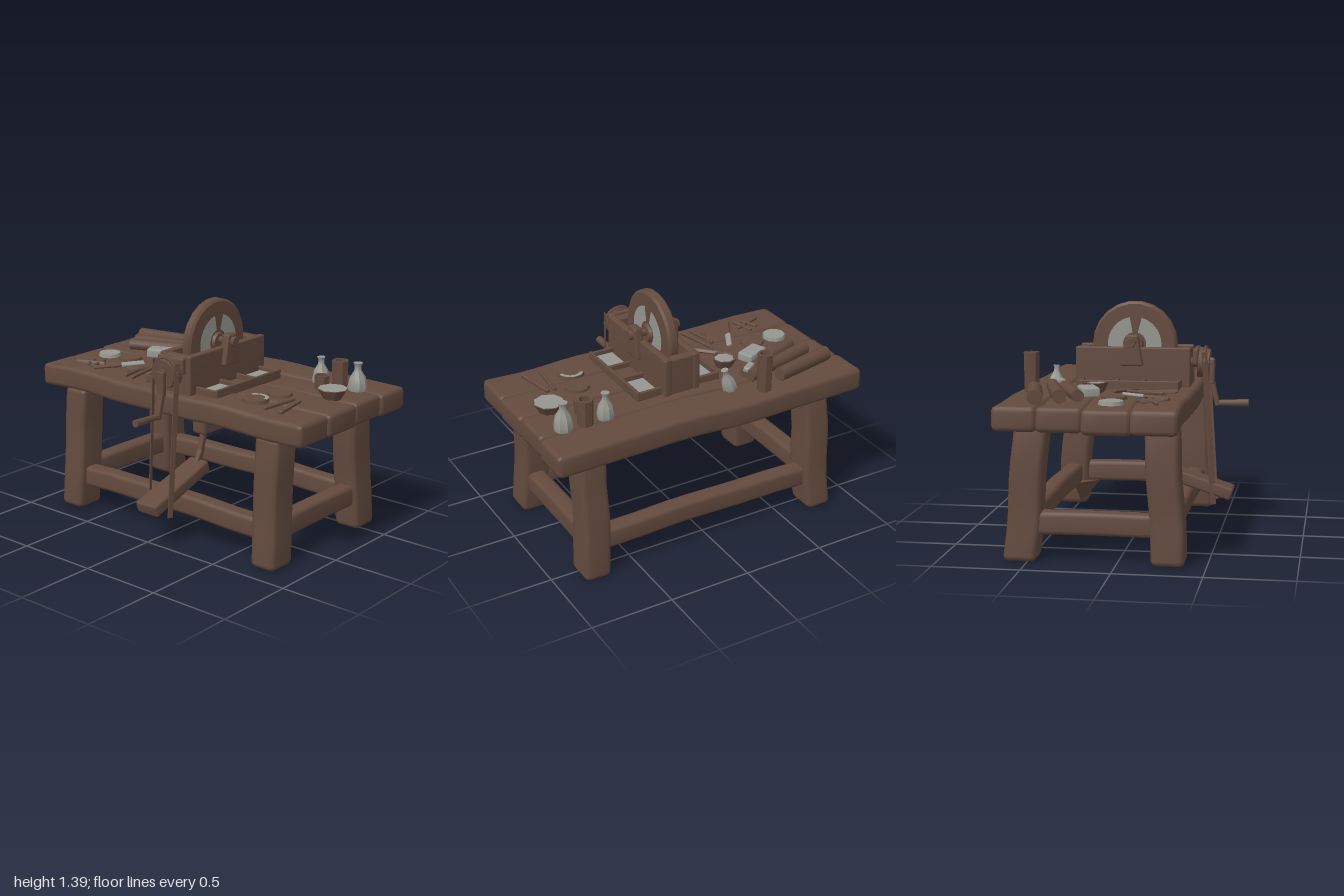
import * as THREE from 'three';
import { mergeVertices, toCreasedNormals } from 'three/addons/utils/BufferGeometryUtils.js';

const V = (x, y, z) => new THREE.Vector3(x, y, z);
const TOP = 0.89; // height of the work surface

export function createModel() {
  const model = new THREE.Group();
  const wood = new THREE.MeshStandardMaterial({ color: 0x634a3e });
  wood.name = 'brown wood';
  const stone = new THREE.MeshStandardMaterial({ color: 0x969690 });
  stone.name = 'pale stone';

  function add(name, geo, x = 0, y = 0, z = 0, mat = wood, parent = model) {
    const m = new THREE.Mesh(geo, mat);
    m.name = name;
    m.position.set(x, y, z);
    parent.add(m);
    return m;
  }

  // Box with chamfered, smoothly shaded edges and an optional bending rule
  function softBox(w, h, d, r, seg = [3, 3, 3], bend = null) {
    const g = new THREE.BoxGeometry(w, h, d, ...seg);
    g.deleteAttribute('normal');
    g.deleteAttribute('uv');
    const half = [w / 2, h / 2, d / 2], p = g.attributes.position;
    for (let i = 0; i < p.count; i++) {
      const c = [p.getX(i), p.getY(i), p.getZ(i)];
      const inner = c.map((v, a) => {
        const k = Math.round((v / half[a] + 1) * seg[a] / 2), n = seg[a], lim = half[a] - r;
        if (k === 1) c[a] = -lim;
        if (k === n - 1) c[a] = lim;
        return THREE.MathUtils.clamp(c[a], -lim, lim);
      });
      const dir = V(c[0] - inner[0], c[1] - inner[1], c[2] - inner[2]);
      if (dir.lengthSq() > 1e-10) dir.setLength(r);
      const q = V(...inner).add(dir);
      if (bend) bend(q);
      p.setXYZ(i, q.x, q.y, q.z);
    }
    const out = mergeVertices(g, 1e-5);
    out.computeVertexNormals();
    return out;
  }

  // Turn a mesh built along y so that it runs from a to b
  function aim(mesh, a, b) {
    mesh.position.copy(a).add(b).multiplyScalar(0.5);
    mesh.quaternion.setFromUnitVectors(V(0, 1, 0), b.clone().sub(a).normalize());
    return mesh;
  }
  const rod = (name, a, b, r0, r1, mat = wood, sides = 8, parent = model) =>
    aim(add(name, new THREE.CylinderGeometry(r1, r0, a.distanceTo(b), sides), 0, 0, 0, mat, parent), a, b);
  const bar = (name, a, b, w, d, mat = wood, parent = model) =>
    aim(add(name, softBox(w, a.distanceTo(b), d, Math.min(w, d) * 0.25), 0, 0, 0, mat, parent), a, b);
  const turned = (pts, sides) =>
    toCreasedNormals(new THREE.LatheGeometry(pts.map(([x, y]) => new THREE.Vector2(x, y)), sides), 0.6);

  // Table top: four uneven planks
  const planks = [[-0.66, -0.41], [-0.42, -0.16], [-0.17, 0.105], [0.095, 0.36]];
  planks.forEach(([z0, z1], i) => {
    add('plank', softBox(2 - (i % 2) * 0.012, 0.138, z1 - z0, 0.028, [16, 3, 4], (q) => {
      q.y += 0.004 * Math.sin(q.x * 6 + i * 2) + 0.003 * Math.sin(q.x * 11 + i);
      q.z += 0.006 * Math.sin(q.x * 5 + i * 0.4);
    }), 0, 0.825, (z0 + z1) / 2);
  });

  // Splayed legs and the stretchers that join them
  for (const s of [-1, 1]) {
    for (const [zb, zt, name] of [[0.29, 0.245, 'frontLeg'], [-0.543, -0.48, 'backLeg']]) {
      add(name, softBox(0.165, 0.77, 0.19, 0.03, [3, 8, 3], (q) => {
        const t = (q.y + 0.385) / 0.77;
        q.x += s * (0.755 - 0.015 * t) + 0.005 * Math.sin(t * 8 + s);
        q.z += zb + (zt - zb) * t + 0.004 * Math.sin(t * 9 + s);
      }), 0, 0.387, 0);
    }
    add('sideStretcher', softBox(0.11, 0.13, 0.72, 0.025, [3, 3, 8], (q) => {
      q.y += 0.005 * Math.cos(q.z * 4);
    }), s * 0.755, 0.215, -0.12);
  }
  for (const z of [0.28, -0.525]) {
    add('longStretcher', softBox(1.4, 0.125, 0.11, 0.025, [12, 3, 3], (q) => {
      q.y += 0.008 * Math.cos(q.x * 3) - 0.004 + 0.003 * Math.sin(q.x * 9);
    }), 0, 0.215, z);
  }
  // Corner web under the stretchers at one back leg
  const web = new THREE.BufferGeometry();
  web.setAttribute('position', new THREE.Float32BufferAttribute(
    [0.55, 0.16, -0.5, 0.7, 0.16, -0.36, 0.7, 0.16, -0.5, 0.68, 0.01, -0.48], 3));
  web.setIndex([0, 1, 2, 0, 3, 1, 1, 3, 2, 2, 3, 0]);
  add('cornerWeb', toCreasedNormals(web, 0.3));

  // Grinder housing: open trough with a lower box beneath the table
  const CX = 0.065, WY = 1.137, WZ = -0.025;
  for (const s of [-1, 1]) {
    add('housingSide', softBox(0.045, 0.25, 0.69, 0.01), CX + s * 0.093, 1.0, -0.025);
    add('housingEnd', softBox(0.2, 0.24, 0.06, 0.012), CX, 0.998, -0.025 + s * 0.31);
  }
  add('waterBox', softBox(0.1, 0.19, 0.345, 0.02), CX, 0.68, -0.058);

  // Grinding wheel, with pale worn patches on both faces
  const wheel = new THREE.Group();
  wheel.name = 'grindingWheel';
  wheel.position.set(CX, WY, WZ);
  model.add(wheel);
  add('wheelDisc', turned([[0, -0.033], [0.24, -0.033], [0.255, -0.02], [0.255, 0.02], [0.24, 0.033], [0, 0.033]], 22),
    0, 0, 0, wood, wheel).rotation.z = Math.PI / 2;
  for (const s of [-1, 1]) {
    for (const [start, len] of [[-0.8, 2.1], [1.75, 2.1]]) {
      const patch = add('wornPatch', new THREE.RingGeometry(0.07, 0.162, 14, 1, start, len), s * 0.036, 0, 0, stone, wheel);
      patch.rotation.y = s * Math.PI / 2;
    }
    rod('hub', V(s * 0.03, 0, 0), V(s * 0.05, 0, 0), 0.06, 0.05, wood, 10, wheel);
  }
  rod('axle', V(-0.1, 1.15, -0.03), V(0.23, 1.15, -0.03), 0.022, 0.022);

  // Tapered bearing blocks with bolt heads
  for (const s of [-1, 1]) {
    add('bearingBlock', softBox(0.055, 0.185, 0.14, 0.012, [3, 3, 3], (q) => {
      q.z *= 0.76 - q.y * 2.6;
    }), CX + s * 0.118, 1.107, -0.028);
    rod('boltHead', V(CX + s * 0.135, 1.155, -0.03), V(CX + s * 0.167, 1.155, -0.03), 0.034, 0.028, wood, 6);
  }

  // Divided trays beside the housing, with pale slabs in the end bays
  for (const s of [-1, 1]) {
    const x = CX + s * 0.193, w = 0.16;
    add('trayFloor', softBox(w, 0.02, 0.6, 0.004), x, 0.898, -0.03);
    add('trayRim', softBox(0.018, 0.055, 0.6, 0.005), x + s * 0.071, 0.918, -0.03);
    for (const z of [-0.32, -0.11, 0.05, 0.26]) {
      add('trayDivider', softBox(w, 0.05, 0.02, 0.005), x, 0.915, z);
    }
    for (const z of [-0.22, 0.157]) add('traySlab', softBox(0.115, 0.012, 0.165, 0.003), x - s * 0.005, 0.914, z, stone);
  }

  // Crank pulley at the front, its arm and handle
  rod('crankAxle', V(CX, 1.03, 0.3), V(CX, 1.03, 0.45), 0.03, 0.03);
  rod('pulley', V(CX, 1.03, 0.36), V(CX, 1.025, 0.425), 0.092, 0.085, wood, 14);
  add('pulleyBracket', softBox(0.19, 0.1, 0.035, 0.012), CX, 1.07, 0.348);
  bar('crankArmTop', V(CX, 1.05, 0.44), V(CX, 0.9, 0.44), 0.055, 0.03);
  bar('crankArm', V(CX, 0.92, 0.44), V(CX, 0.77, 0.475), 0.042, 0.03);
  rod('crankHandle', V(CX, 0.785, 0.46), V(CX, 0.79, 0.66), 0.018, 0.024);

  // Drive strap over the pulley, running down past the pedal
  add('strapLoop', new THREE.TorusGeometry(0.09, 0.012, 5, 12, Math.PI), CX, 1.03, 0.4);
  for (const s of [-1, 1]) {
    bar('strap', V(CX + s * 0.09, 1.1, 0.4), V(CX + s * 0.08, 0.18, 0.46), 0.007, 0.034);
  }

  // Foot pedal and the link up to the water box
  const pedal = add('pedal', softBox(0.15, 0.075, 0.51, 0.014, [3, 3, 5], (q) => { q.x *= 1 + q.z * 0.25; }), CX - 0.008, 0.318, 0.326);
  pedal.rotation.x = 0.31;
  bar('pedalLinkUpper', V(0.057, 0.61, 0.05), V(0.057, 0.47, 0.085), 0.035, 0.035);
  bar('pedalLinkLower', V(0.057, 0.49, 0.078), V(0.057, 0.4, 0.12), 0.035, 0.04);

  // Three logs on the back corner
  const logs = [[-0.89, -0.43, -0.5, -0.52], [-0.82, -0.31, -0.34, -0.45], [-0.78, -0.215, -0.33, -0.4]];
  logs.forEach(([x0, z0, x1, z1], i) =>
    rod('log', V(x0, TOP + 0.044, z0), V(x1, TOP + 0.042, z1), 0.046 - i * 0.005, 0.042 - i * 0.005));

  // Hollow cups
  for (const [x, z, r, h] of [[-0.365, -0.565, 0.047, 0.235], [0.71, -0.41, 0.05, 0.16], [0.67, -0.285, 0.046, 0.09]]) {
    add('cup', turned([[0, 0], [r * 0.92, 0], [r, h], [r * 0.7, h], [r * 0.62, 0.03], [0, 0.03]], 7), x, TOP, z);
  }

  // Bottles
  for (const [x, z, r, h, tilt] of [[0.58, -0.4, 0.052, 0.16, 0], [0.84, -0.4, 0.058, 0.17, 0], [-0.2, -0.46, 0.045, 0.14, -0.3]]) {
    const profile = [[0, 0], [r * 0.9, 0], [r, h * 0.15], [r * 0.8, h * 0.5], [r * 0.35, h * 0.75], [r * 0.35, h * 0.9], [r * 0.5, h], [0, h]];
    add('bottle', turned(profile, 8), x, TOP, z, stone).rotation.z = tilt;
  }

  // Bowls with pale contents, and flat discs
  for (const [x, z, r] of [[-0.32, -0.2, 0.078], [0.82, -0.18, 0.088]]) {
    add('bowl', turned([[0, 0], [r * 0.6, 0], [r, 0.06], [r * 0.85, 0.06], [r * 0.6, 0.03], [0, 0.03]], 8), x, TOP, z);
    add('bowlContents', new THREE.CylinderGeometry(r * (x > 0 ? 0.98 : 0.76), r * 0.7, 0.008, 8), x, TOP + (x > 0 ? 0.06 : 0.048), z, stone);
  }
  for (const [x, z, r, mat] of [[-0.79, -0.03, 0.072, stone], [-0.62, -0.04, 0.075, wood], [0.565, -0.02, 0.078, wood], [0.52, 0.15, 0.082, wood]]) {
    add('flatDisc', new THREE.CylinderGeometry(r * 0.95, r, 0.022, 9), x, TOP + 0.014, z, mat);
  }
  const crescent = add('paleCrescent', new THREE.RingGeometry(0.055, 0.078, 10, 1, 0.1, 2.4), 0.52, TOP + 0.027, 0.15, stone);
  crescent.rotation.x = -Math.PI / 2;

  // Whetstone block and a pale scrap
  add('whetstone', softBox(0.16, 0.055, 0.1, 0.01), -0.515, TOP + 0.035, -0.205, stone).rotation.y = 0.4;
  add('paleScrap', softBox(0.09, 0.03, 0.04, 0.008), -0.365, TOP + 0.07, -0.4, stone).rotation.y = 0.6;

  // Hand tools lying on the bench: x0, z0, x1, z1, width, material
  const tools = [
    ['knifeBlade', -0.55, 0.12, -0.48, -0.01, 0.034, stone],
    ['knifeHandle', -0.64, 0.27, -0.55, 0.12, 0.026, wood],
    ['tongs', -0.36, -0.01, -0.42, 0.21, 0.016, wood],
    ['tongs', -0.37, 0.01, -0.31, 0.28, 0.016, wood],
    ['tongs', -0.41, 0.07, -0.37, 0.27, 0.014, wood],
    ['pliers', -0.38, -0.08, -0.26, 0.04, 0.024, wood],
    ['rake', -0.83, 0.23, -0.65, 0.16, 0.024, wood],
    ['rakeTooth', -0.71, 0.1, -0.67, 0.25, 0.02, wood],
    ['rakeTooth', -0.77, 0.13, -0.72, 0.24, 0.018, wood],
    ['chisel', 0.69, 0.01, 0.67, 0.26, 0.02, wood],
    ['chisel', 0.73, 0.01, 0.78, 0.26, 0.024, wood],
  ];
  for (const [name, x0, z0, x1, z1, w, mat] of tools) {
    bar(name, V(x0, TOP + 0.015, z0), V(x1, TOP + 0.015, z1), w, 0.018, mat);
  }

  return model;
}
